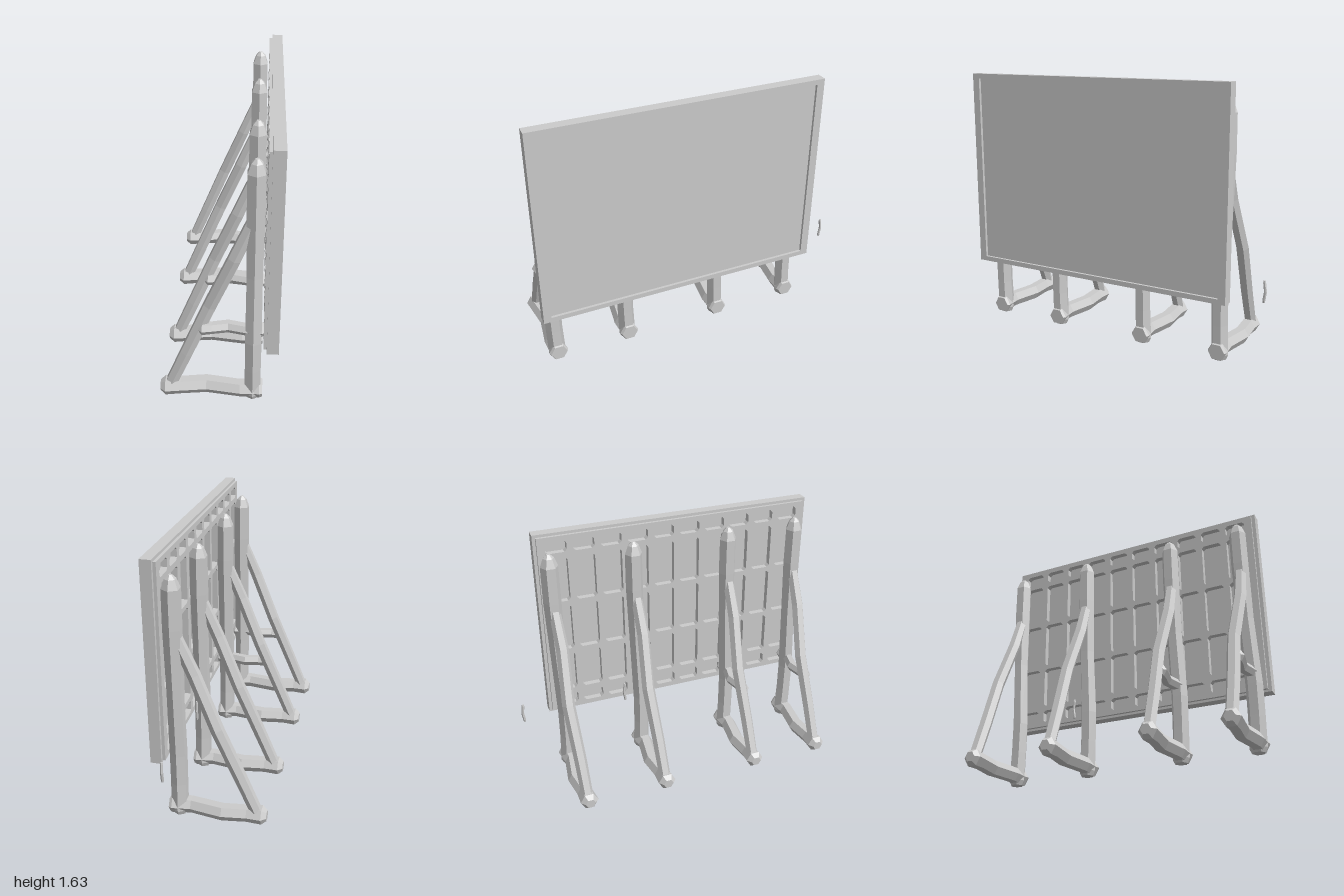
import * as THREE from 'three';

const material = new THREE.MeshStandardMaterial({ color: 0xcccccc, flatShading: true, side: THREE.DoubleSide });

function add(parent, geometry, name) {
  const mesh = new THREE.Mesh(geometry, material);
  mesh.name = name;
  parent.add(mesh);
  return mesh;
}

// Rough six-sided log from a to b in the xy plane.
// Each ring is [position along the log 0..1, sideways z shift, radius factor].
function log(a, b, radius, rings) {
  const g = new THREE.CylinderGeometry(1, 1, 1, 6, rings.length - 1);
  const dx = b[0] - a[0], dy = b[1] - a[1], len = Math.hypot(dx, dy);
  const p = g.attributes.position;
  for (let i = 0; i < p.count; i++) {
    const [t, shift, s] = rings[Math.round((p.getY(i) + 0.5) * (rings.length - 1))];
    const side = p.getX(i) * s * radius;
    p.setXYZ(i,
      a[0] + dx * t + (dy / len) * side,
      a[1] + dy * t - (dx / len) * side,
      p.getZ(i) * s * radius + shift);
  }
  g.computeVertexNormals();
  return g;
}

// Bent beam with chamfered ends
const wavy = [
  [0, 0.005, 0.6], [0.05, 0.005, 1.05], [0.2, 0, 0.93], [0.45, -0.02, 0.95],
  [0.78, 0.008, 0.93], [0.92, 0, 1], [0.97, 0, 1.1], [1, 0, 0.95],
];

function rect(shape, u0, v0, u1, v1, r = 0) {
  shape.moveTo(u0 + r, v0);
  shape.lineTo(u1 - r, v0);
  shape.lineTo(u1, v0 + r);
  shape.lineTo(u1, v1 - r);
  shape.lineTo(u1 - r, v1);
  shape.lineTo(u0 + r, v1);
  shape.lineTo(u0, v1 - r);
  shape.lineTo(u0, v0 + r);
  shape.closePath();
  return shape;
}

// Upright plate whose front lies at xFront, drawn in (z, y)
function plate(shape, xFront, depth) {
  const g = new THREE.ExtrudeGeometry(shape, { depth, bevelEnabled: false });
  return g.rotateY(-Math.PI / 2).translate(xFront, 0, 0);
}

function createStand(z, withCrossbar) {
  const stand = new THREE.Group();
  stand.name = 'stand';
  stand.position.z = z;
  add(stand, log([0.195, 0.002], [0.195, 1.54], 0.057, [
    [0, 0, 0.7], [0.02, 0, 0.95], [0.14, 0.006, 0.92], [0.27, 0.008, 0.93], [0.55, -0.008, 0.88],
    [0.8, -0.015, 0.98], [0.95, -0.015, 0.96], [0.985, -0.015, 0.6], [1, -0.015, 0.2],
  ]), 'post');
  add(stand, log([-0.34, 0.06], [0.252, 0.06], 0.055, wavy), 'baseBeam');
  add(stand, log([-0.275, 0.09], [0.175, 1.17], 0.042, [
    [0, 0, 0.9], [0.2, -0.006, 0.95], [0.5, -0.022, 0.97], [0.8, -0.002, 0.95], [1, -0.01, 0.85],
  ]), 'brace');
  if (withCrossbar) add(stand, log([-0.11, 0.49], [0.252, 0.49], 0.038, wavy), 'crossbar');
  return stand;
}

export function createModel() {
  const model = new THREE.Group();
  model.name = 'billboard';

  // Four timber stands, the two forward ones with crossbars
  for (const [z, bar] of [[0.908, true], [0.437, true], [-0.194, false], [-0.716, false]]) {
    model.add(createStand(z, bar));
  }

  // Small loose pegs beside the two rear stands
  for (const z of [-0.985, -0.3]) {
    const peg = log([0.203, 0.4], [0.203, 0.532], 0.009, [
      [0, 0.004, 0.7], [0.1, 0.004, 1], [0.5, -0.004, 1], [0.9, 0.003, 1], [1, 0.003, 0.7],
    ]);
    add(model, peg, 'peg').position.z = z;
  }

  // Board: raised frame around a recessed panel
  const board = new THREE.Group();
  board.name = 'board';
  model.add(board);
  const frame = rect(new THREE.Shape(), -0.803, 0.39, 1.0, 1.637);
  frame.holes.push(rect(new THREE.Path(), -0.755, 0.42, 0.952, 1.605));
  add(board, plate(frame, 0.337, 0.067), 'frame');
  add(board, new THREE.BoxGeometry(0.03, 1.2, 1.72).translate(0.305, 1.0125, 0.0985), 'panel');

  // Back lattice: ribs and rungs around chamfered openings
  const lattice = rect(new THREE.Shape(), -0.783, 0.405, 0.978, 1.62);
  const columns = 10, first = -0.755, pitch = 1.705 / columns;
  const rows = [[0.435, 0.515], [0.55, 0.82], [0.85, 1.16], [1.19, 1.48], [1.515, 1.59]];
  for (let c = 0; c < columns; c++) {
    const u = first + c * pitch;
    for (const [v0, v1] of rows) {
      lattice.holes.push(rect(new THREE.Path(), u + 0.02, v0, u + pitch - 0.02, v1, 0.015));
    }
  }
  add(board, plate(lattice, 0.292, 0.04), 'backLattice');

  return model;
}
